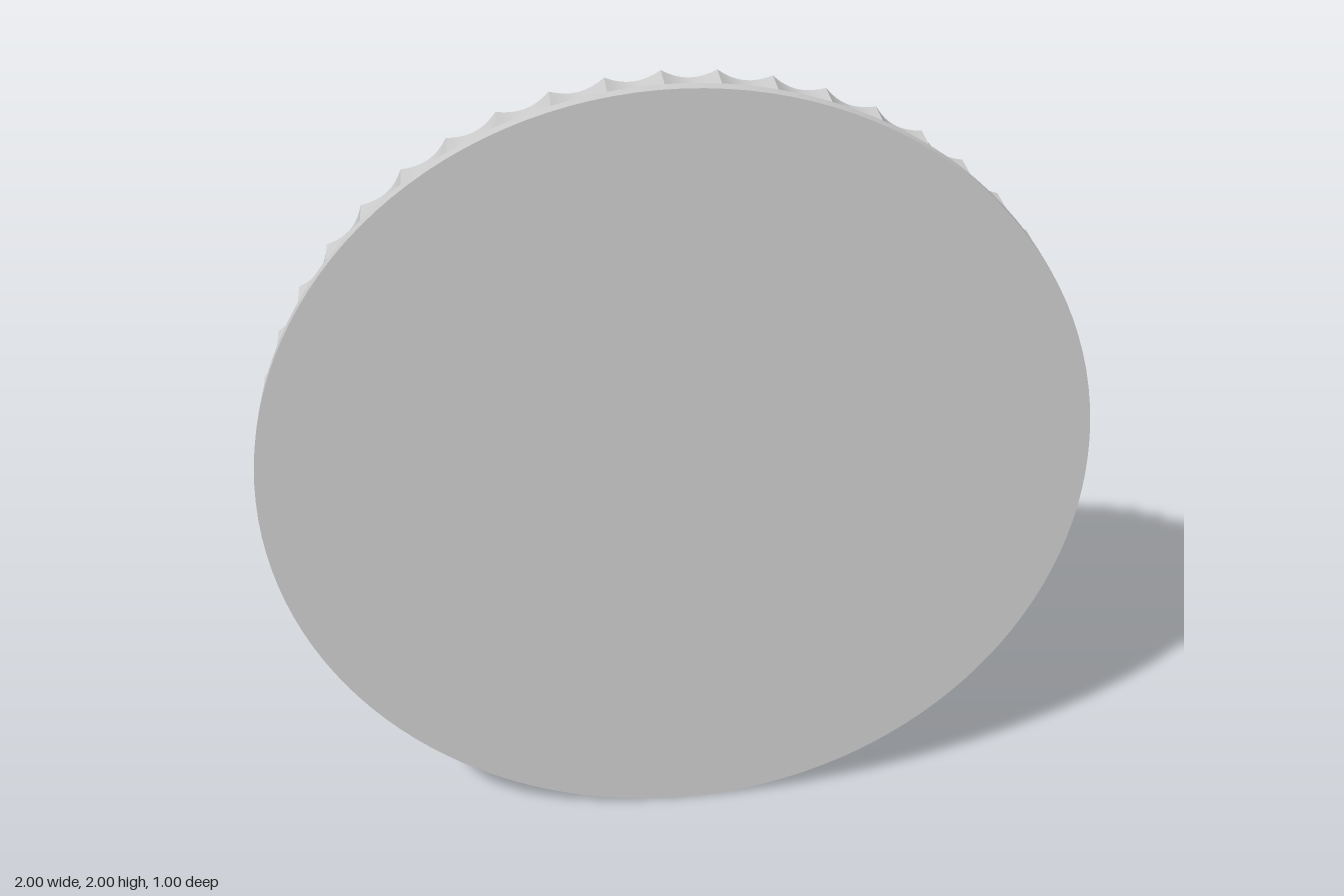
import * as THREE from 'three';
import { toCreasedNormals } from 'three/addons/utils/BufferGeometryUtils.js';

const material = new THREE.MeshStandardMaterial({ color: 0xcccccc });

// Round outline with shallow concave flutes meeting in sharp ridges
function flutedShape(radius, count, depth, steps, phase) {
  const points = [];
  for (let i = 0; i < count; i++) {
    for (let j = 0; j < steps; j++) {
      const t = j / steps;
      const a = phase + ((i + t) / count) * Math.PI * 2;
      const r = radius - depth * 4 * t * (1 - t);
      points.push(new THREE.Vector2(r * Math.cos(a), r * Math.sin(a)));
    }
  }
  return new THREE.Shape(points);
}

// Fluted prism along z, scaled evenly from one end to the other
function flutedSolid(shape, zBack, zFront, backScale = 1) {
  const depth = zFront - zBack;
  const geometry = new THREE.ExtrudeGeometry(shape, { depth, bevelEnabled: false });
  const p = geometry.attributes.position;
  for (let i = 0; i < p.count; i++) {
    const s = THREE.MathUtils.lerp(backScale, 1, p.getZ(i) / depth);
    p.setXYZ(i, p.getX(i) * s, p.getY(i) * s, p.getZ(i) + zBack);
  }
  return toCreasedNormals(geometry, 0.5);
}

// Smooth disc along z
function disc(rFront, rBack, zBack, zFront) {
  return new THREE.CylinderGeometry(rFront, rBack, zFront - zBack, 128)
    .rotateX(Math.PI / 2)
    .translate(0, 0, (zBack + zFront) / 2);
}

export function createModel() {
  const group = new THREE.Group();
  const add = (name, geometry, x, y) => {
    const mesh = new THREE.Mesh(geometry, material);
    mesh.name = name;
    mesh.position.set(x, y, 0);
    group.add(mesh);
  };

  // Large front plate with the scalloped grip ring behind it
  add('frontPlate', disc(1, 1, 0.47, 0.5), 0, 1);
  const grip = flutedShape(0.998, 50, 0.02, 8, THREE.MathUtils.degToRad(-1.65));
  add('gripRing', flutedSolid(grip, 0.39, 0.471), 0, 1.002);

  // Finely ribbed tapering stem
  const ribs = flutedShape(0.311, 100, 0.006, 4, 0);
  add('stem', flutedSolid(ribs, -0.422, 0.392, 0.178 / 0.311), -0.005, 1.004);

  // Flared flange at the back
  add('backFlange', disc(0.336, 0.395, -0.5, -0.42), -0.006, 1.004);

  return group;
}
